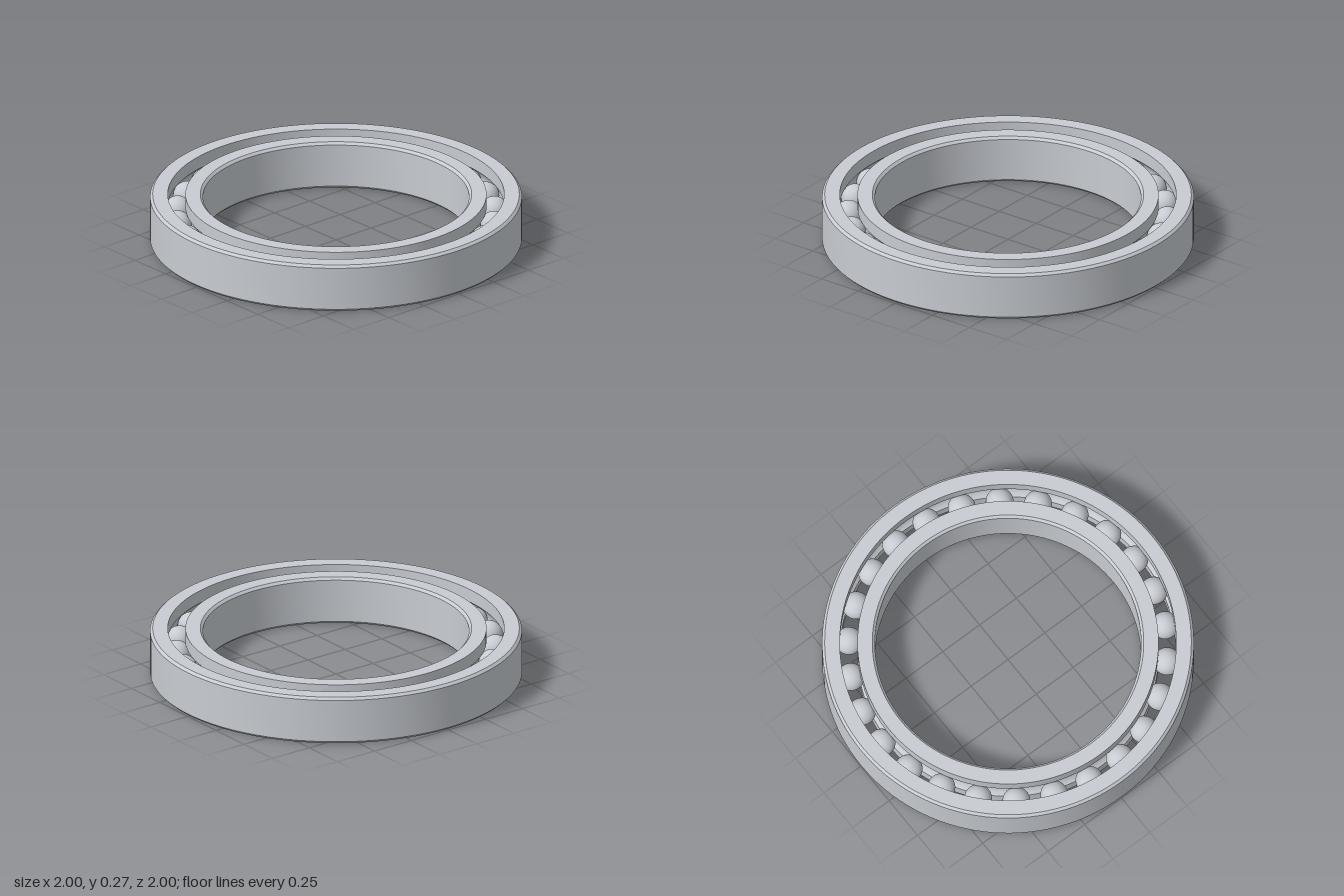
import * as THREE from 'three';
import { toCreasedNormals } from 'three/addons/utils/BufferGeometryUtils.js';

const HEIGHT = 0.267, MID = HEIGHT / 2;
const PITCH = 0.858, BALL_RADIUS = 0.075, GROOVE_RADIUS = 0.077, BALLS = 26;
const CHAMFER = 0.014;

// Spin a closed cross-section, keeping its edges crisp
function ring(name, profile, material) {
  const points = [...profile, profile[0]].map(([r, y]) => new THREE.Vector2(r, y));
  const geometry = toCreasedNormals(new THREE.LatheGeometry(points, 128), 0.5);
  const mesh = new THREE.Mesh(geometry, material);
  mesh.name = name;
  return mesh;
}

// Arc of the ball raceway cut into a wall of radius r, running up (1) or down (-1)
function raceway(r, direction) {
  const side = Math.sign(r - PITCH);
  const half = Math.acos(Math.abs(r - PITCH) / GROOVE_RADIUS);
  return Array.from({ length: 13 }, (_, i) => {
    const a = direction * half * (i / 6 - 1);
    return [PITCH + side * GROOVE_RADIUS * Math.cos(a), MID + GROOVE_RADIUS * Math.sin(a)];
  });
}

export function createModel() {
  const group = new THREE.Group();
  group.name = 'ballBearing';
  const steel = new THREE.MeshStandardMaterial({ color: 0xc8ccd2 });
  steel.name = 'steel';

  // Outer ring: chamfered outside, raceway inside
  const outerWall = 0.905;
  group.add(ring('outerRing', [
    [1 - CHAMFER, 0], [1, CHAMFER], [1, HEIGHT - CHAMFER], [1 - CHAMFER, HEIGHT],
    [outerWall, HEIGHT], ...raceway(outerWall, -1), [outerWall, 0],
  ], steel));

  // Inner ring: raceway outside, chamfered bore
  const innerWall = 0.81, bore = 0.716;
  group.add(ring('innerRing', [
    [innerWall, 0], ...raceway(innerWall, 1), [innerWall, HEIGHT],
    [bore + CHAMFER, HEIGHT], [bore, HEIGHT - CHAMFER], [bore, CHAMFER], [bore + CHAMFER, 0],
  ], steel));

  // Balls evenly spaced around the pitch circle
  const balls = new THREE.Group();
  balls.name = 'balls';
  const ballGeometry = new THREE.SphereGeometry(BALL_RADIUS, 32, 20);
  for (let i = 0; i < BALLS; i++) {
    const a = (i / BALLS) * Math.PI * 2;
    const ball = new THREE.Mesh(ballGeometry, steel);
    ball.name = 'ball';
    ball.position.set(PITCH * Math.cos(a), MID, PITCH * Math.sin(a));
    balls.add(ball);
  }
  group.add(balls);
  return group;
}
